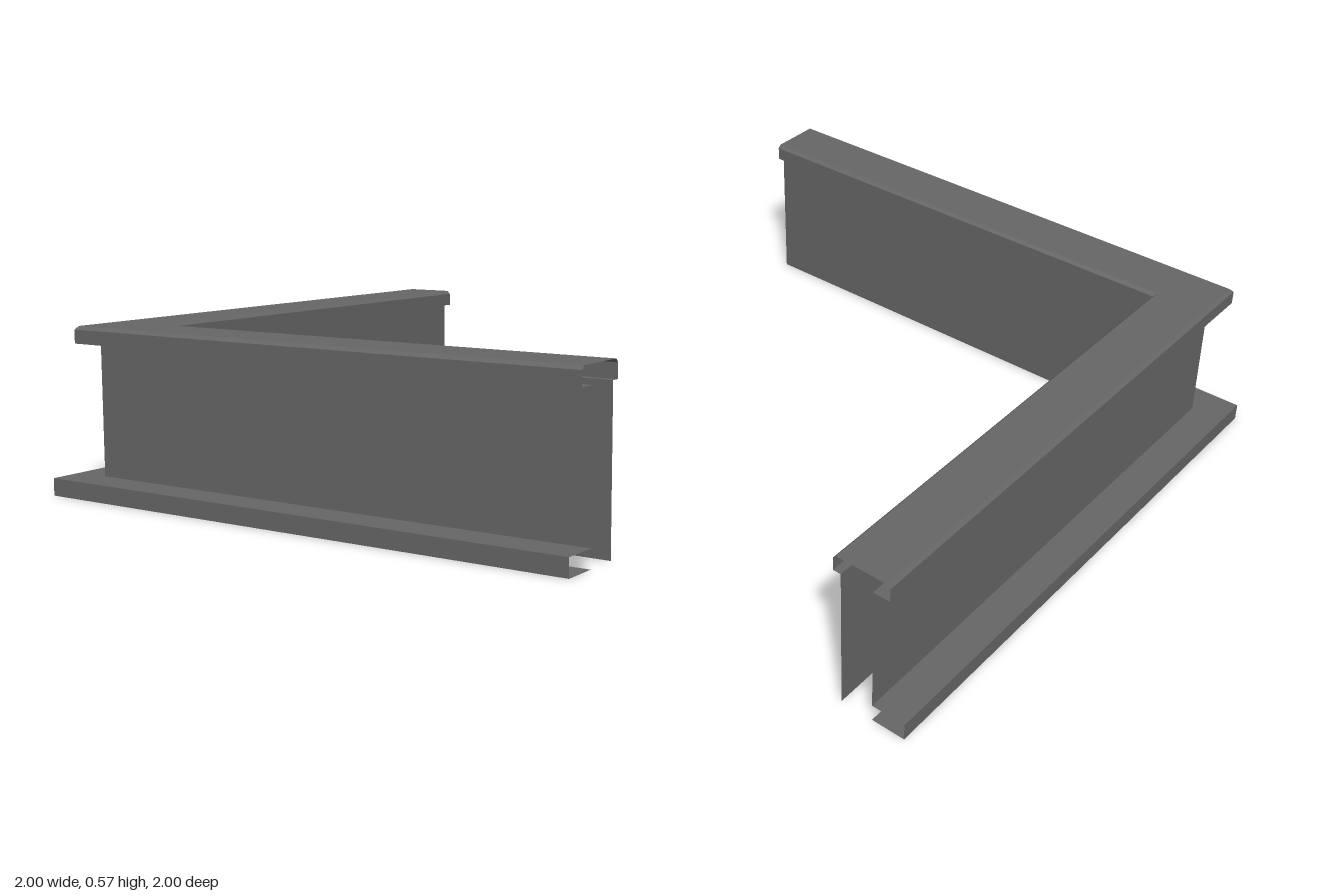
import * as THREE from 'three';

// Sweeps an open profile of [inset, height] points along the mitred L-shaped run
function sweepCorner(profile) {
  const stations = [
    ([d, y]) => [-1 + d, y, -1],
    ([d, y]) => [-1 + d, y, 1 - d],
    ([d, y]) => [1, y, 1 - d],
  ];
  const positions = [];
  for (let s = 0; s < stations.length - 1; s++) {
    for (let i = 0; i < profile.length - 1; i++) {
      const a0 = stations[s](profile[i]), a1 = stations[s](profile[i + 1]);
      const b0 = stations[s + 1](profile[i]), b1 = stations[s + 1](profile[i + 1]);
      positions.push(...a0, ...b0, ...b1, ...a0, ...b1, ...a1);
    }
  }
  const geometry = new THREE.BufferGeometry();
  geometry.setAttribute('position', new THREE.Float32BufferAttribute(positions, 3));
  geometry.computeVertexNormals();
  return geometry;
}

export function createModel() {
  const group = new THREE.Group();
  group.name = 'cornerWall';
  const grey = new THREE.MeshStandardMaterial({ color: 0x666666, side: THREE.DoubleSide });
  grey.name = 'grey';

  // Hollow sheet sections, listed from the outer foot over the cap to the inner foot
  const parts = {
    baseLedge: [[0.12, 0], [0, 0], [0, 0.06], [0.12, 0.06]],
    outerWall: [[0.12, 0.06], [0.12, 0.515]],
    cap: [
      [0.12, 0.515], [0.06, 0.515], [0.06, 0.562], [0.071, 0.574],
      [0.254, 0.574], [0.265, 0.562], [0.265, 0.515], [0.237, 0.515],
    ],
    innerWall: [[0.237, 0.515], [0.237, 0]],
  };
  for (const [name, profile] of Object.entries(parts)) {
    const mesh = new THREE.Mesh(sweepCorner(profile), grey);
    mesh.name = name;
    group.add(mesh);
  }
  return group;
}
